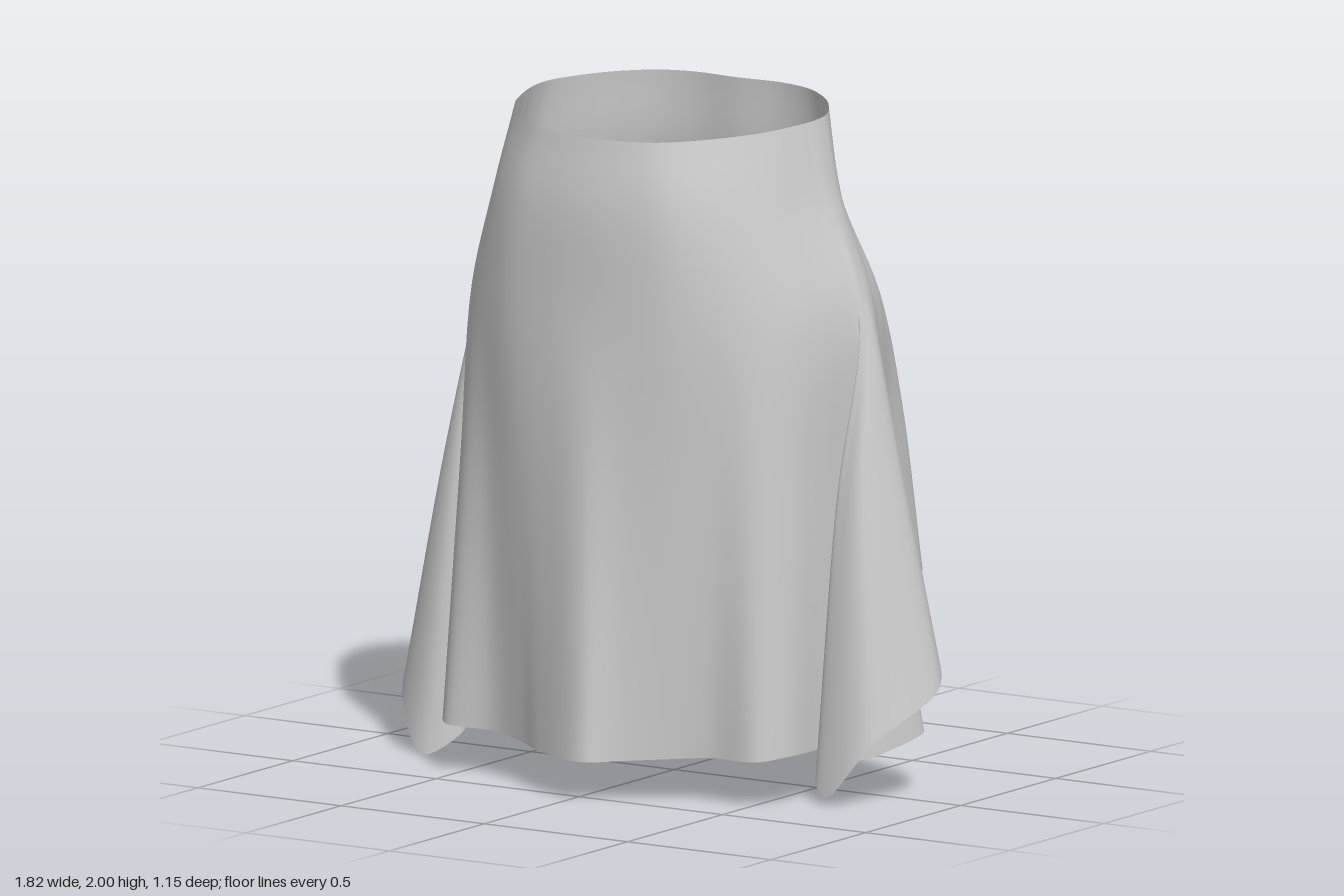
import * as THREE from 'three';

// Each column runs from waist to hem: waist x, z | hip x, z | hem x, y, z
const FRONT = [
  [0, .45, 0, .49, .06, .12, .575],
  [.12, .44, .14, .48, .14, .12, .50],
  [.22, .41, .28, .45, .24, .125, .435],
  [.31, .34, .40, .385, .38, .135, .38],
  [.39, .25, .49, .31, .54, .14, .385],
  [.44, .17, .56, .22, .60, .15, .30],
  [.465, .10, .605, .12, .61, .15, .16],
];
// Upper part of the side pleat: waist x, z | hip x, z
const PLEAT = [
  [.478, .06, .625, .07],
  [.483, .035, .637, .045],
  [.486, .02, .645, .03],
  [.488, .005, .65, .018],
  [.489, -.01, .655, .012],
  [.489, -.025, .66, .005],
  [.488, -.04, .664, -.01],
  [.486, -.06, .666, -.025],
  [.48, -.08, .66, -.05],
  [.465, -.11, .64, -.09],
];
// S-shaped pleat hems (x, y, z): tuck back, return forward, flare outward
const LEFT_HEM = [
  [.63, .16, 0], [.69, .17, -.14], [.77, .17, -.155], [.72, .12, .02], [.61, .08, .17],
  [.67, .02, .215], [.82, .19, .195], [.91, .33, -.02], [.81, .41, -.135], [.66, .42, -.14],
];
const RIGHT_HEM = [
  [.64, .14, 0], [.68, .16, -.13], [.77, .16, -.175], [.73, .11, 0], [.64, .07, .14],
  [.74, 0, .205], [.87, .15, .12], [.91, .26, -.02], [.80, .40, -.15], [.65, .42, -.13],
];
const BACK = [
  [.43, -.165, .60, -.15, .58, .45, -.25],
  [.39, -.215, .55, -.25, .525, .51, -.42],
  [.34, -.26, .47, -.36, .485, .56, -.57],
  [.26, -.31, .36, -.43, .36, .55, -.51],
  [.15, -.335, .22, -.45, .22, .54, -.485],
  [0, -.33, 0, -.45, 0, .54, -.475],
];

const HIP_Y = 1.42;
const STEPS = 6; // subdivisions between neighbouring columns
const ROWS = 28;

// Five levels of one column: waist, upper hip, hip, thigh, hem
function columnLevels([wx, wz, hx, hz, ex, ey, ez], side) {
  const waist = new THREE.Vector3(wx * side, 1.975 - 0.07 * wz, wz);
  const hip = new THREE.Vector3(hx * side, HIP_Y, hz);
  const hem = new THREE.Vector3(ex * side, ey, ez);
  // the front fills out early, the small of the back stays close
  const fullness = wz > 0 ? 0.36 + 0.45 * (wz / 0.45) ** 2 : 0.36 + 0.7 * wz;
  const upper = waist.clone().lerp(hip, fullness);
  upper.y = 1.74;
  const thigh = hip.clone().lerp(hem, 0.4);
  if (wz < -.25) thigh.z -= 0.03;                            // seat of the skirt
  else if (ex > .6 && ey < .2 && wz < 0) thigh.z += 0.03;    // leading fold of the pleat
  return [waist, upper, hip, thigh, hem];
}

function skirtGeometry() {
  const half = (pleatHem, side) =>
    [...FRONT, ...PLEAT.map((p, i) => [...p, ...pleatHem[i]]), ...BACK].map(c => columnLevels(c, side));
  const columns = [...half(LEFT_HEM, 1), ...half(RIGHT_HEM, -1).slice(1, -1).reverse()];

  // Closed ring through the columns at every level
  const rings = [0, 1, 2, 3, 4].map(level =>
    new THREE.CatmullRomCurve3(columns.map(c => c[level]), true, 'centripetal'));

  const count = columns.length * STEPS;
  const positions = [], index = [];
  for (let i = 0; i < count; i++) {
    const drop = new THREE.CatmullRomCurve3(rings.map(r => r.getPoint(i / count)), false, 'centripetal');
    for (let j = 0; j <= ROWS; j++) {
      const p = drop.getPoint(j / ROWS);
      positions.push(p.x, Math.max(0, p.y), p.z);
    }
  }
  for (let i = 0; i < count; i++) {
    for (let j = 0; j < ROWS; j++) {
      const a = i * (ROWS + 1) + j, b = ((i + 1) % count) * (ROWS + 1) + j;
      index.push(a, a + 1, b, b, a + 1, b + 1);
    }
  }
  const geometry = new THREE.BufferGeometry();
  geometry.setAttribute('position', new THREE.Float32BufferAttribute(positions, 3));
  geometry.setIndex(index);
  geometry.computeVertexNormals();
  return geometry;
}

export function createModel() {
  const group = new THREE.Group();
  group.name = 'skirt';
  const material = new THREE.MeshStandardMaterial({ color: 0xcccccc, side: THREE.DoubleSide });
  const cloth = new THREE.Mesh(skirtGeometry(), material);
  cloth.name = 'skirtCloth';
  group.add(cloth);
  return group;
}
